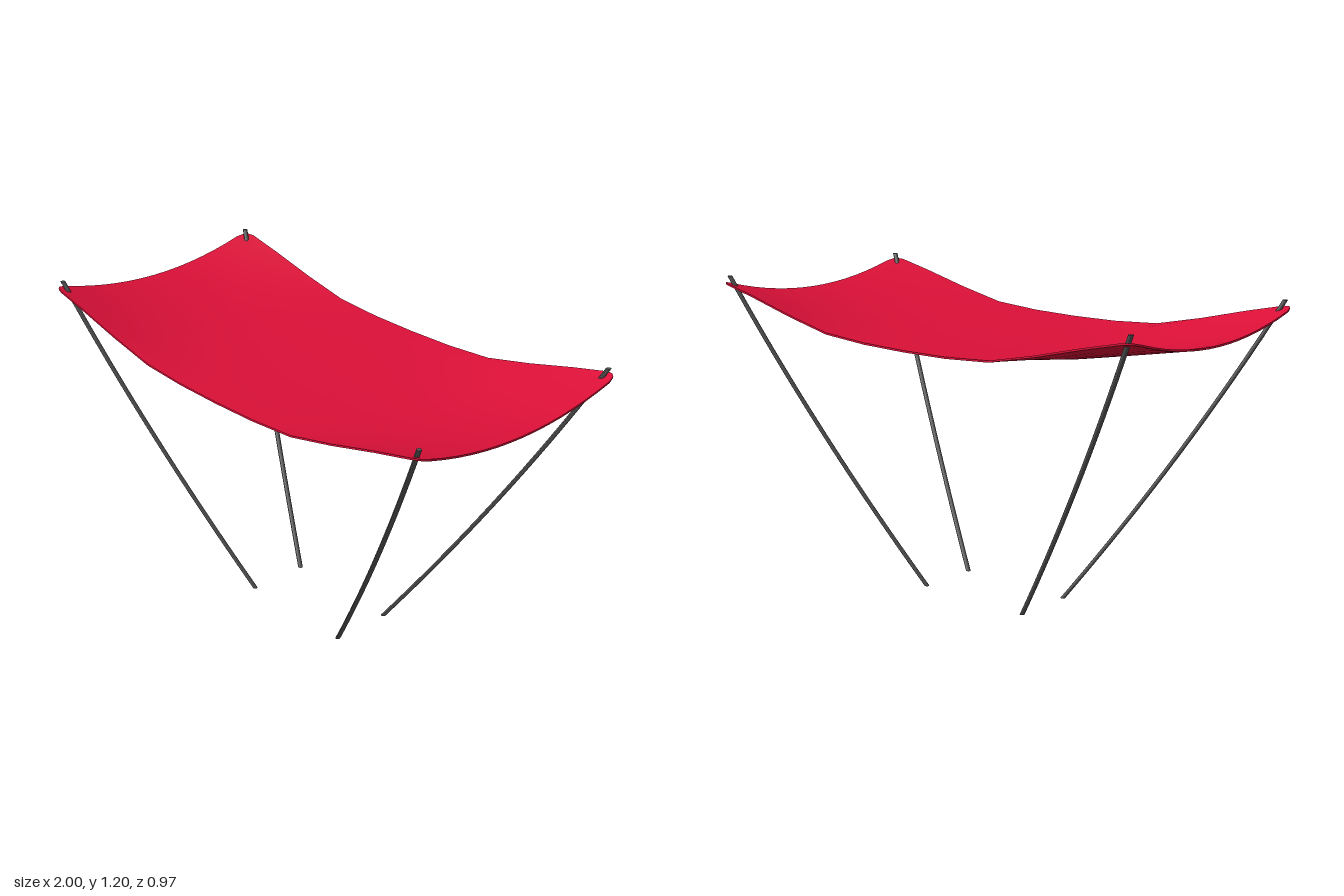
import * as THREE from 'three';

const HALF_DEPTH = 0.486, CORNER = 0.05, THICKNESS = 0.007;

// Stations from the middle of the sheet to its end, with the height of
// the centre line and of the long edge at each one.
const STATIONS = [
  [0, 1.015, 1.027], [0.2, 1.015, 1.03], [0.4, 1.018, 1.043],
  [0.6, 1.031, 1.086], [0.8, 1.065, 1.136], [0.95, 1.093, 1.17],
  [0.975, 1.098, 1.175], [0.99, 1.1, 1.178], [1, 1.102, 1.18],
];

// Sagging cloth with rounded corners: a thin slab whose columns follow the stations
function createCanopy(material) {
  const n = STATIONS.length - 1;
  const geometry = new THREE.BoxGeometry(2, THICKNESS, 2, 2 * n, 1, 14);
  const p = geometry.attributes.position;
  for (let i = 0; i < p.count; i++) {
    const side = Math.sign(p.getX(i));
    const [x, centre, edge] = STATIONS[Math.round(Math.abs(p.getX(i)) * n)];
    const v = p.getZ(i);
    const c = Math.max(0, x - (1 - CORNER));
    const half = HALF_DEPTH - CORNER + Math.sqrt(Math.max(0, CORNER * CORNER - c * c));
    const z = v * half;
    const y = centre + (edge - centre) * (z / HALF_DEPTH) ** 2;
    p.setXYZ(i, side * x, y + p.getY(i), z);
  }
  geometry.computeVertexNormals();
  const mesh = new THREE.Mesh(geometry, material);
  mesh.name = 'canopy';
  return mesh;
}

// Slightly bowed pole, cut level at both ends
function createPole(sx, sz, material) {
  const height = 1.2;
  const geometry = new THREE.CylinderGeometry(0.0095, 0.0095, height, 10, 16);
  geometry.translate(0, height / 2, 0);
  const p = geometry.attributes.position;
  for (let i = 0; i < p.count; i++) {
    const t = p.getY(i) / height;
    const bow = 4 * t * (1 - t);
    p.setX(i, p.getX(i) + sx * (0.247 + 0.726 * t + 0.026 * bow));
    p.setZ(i, p.getZ(i) + sz * (0.122 + 0.337 * t + 0.012 * bow));
  }
  geometry.computeVertexNormals();
  const mesh = new THREE.Mesh(geometry, material);
  mesh.name = (sz > 0 ? 'front' : 'back') + (sx > 0 ? 'Left' : 'Right') + 'Pole';
  return mesh;
}

export function createModel() {
  const cloth = new THREE.MeshStandardMaterial({ color: 0xdc1038 });
  const metal = new THREE.MeshStandardMaterial({ color: 0x555555 });
  const group = new THREE.Group();
  group.name = 'canopyShelter';
  group.add(createCanopy(cloth));
  for (const sx of [1, -1]) {
    for (const sz of [1, -1]) group.add(createPole(sx, sz, metal));
  }
  return group;
}
